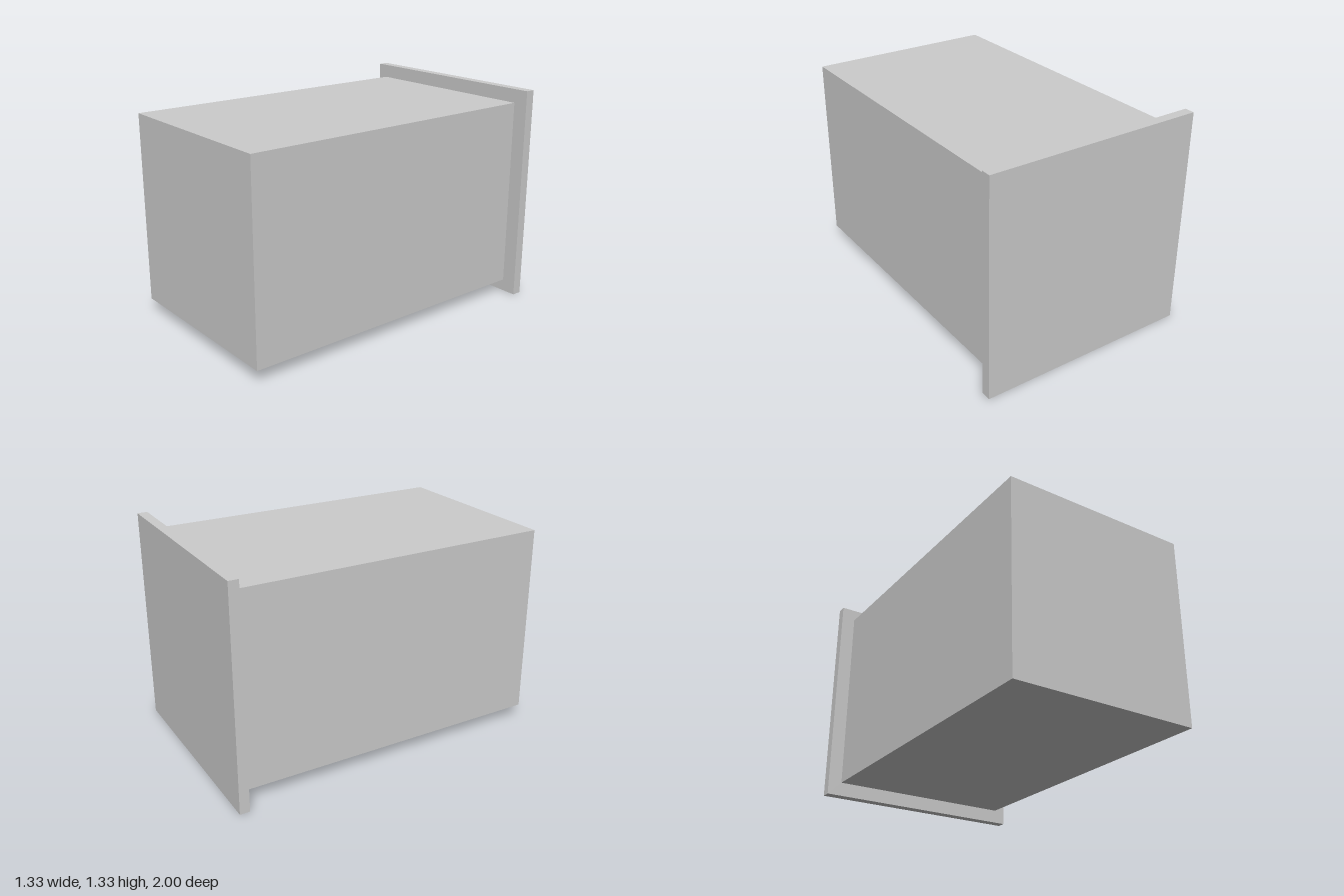
import * as THREE from 'three';

const material = new THREE.MeshStandardMaterial({ color: 0xcccccc, flatShading: true });

// Square block centred on x, spanning zBack to zFront
function block(name, size, centreY, zBack, zFront) {
  const mesh = new THREE.Mesh(new THREE.BoxGeometry(size, size, zFront - zBack), material);
  mesh.name = name;
  mesh.position.set(0, centreY, (zBack + zFront) / 2);
  return mesh;
}

export function createModel() {
  const group = new THREE.Group();
  group.name = 'boxWithBackPanel';
  const plateSize = 1.333;
  const centreY = plateSize / 2;

  // Long main body, a hair's breadth in front of the back panel
  group.add(block('body', 1.17, centreY, -0.927, 1));
  // Thin, wider panel behind the body
  group.add(block('backPanel', plateSize, centreY, -1, -0.94));
  return group;
}
